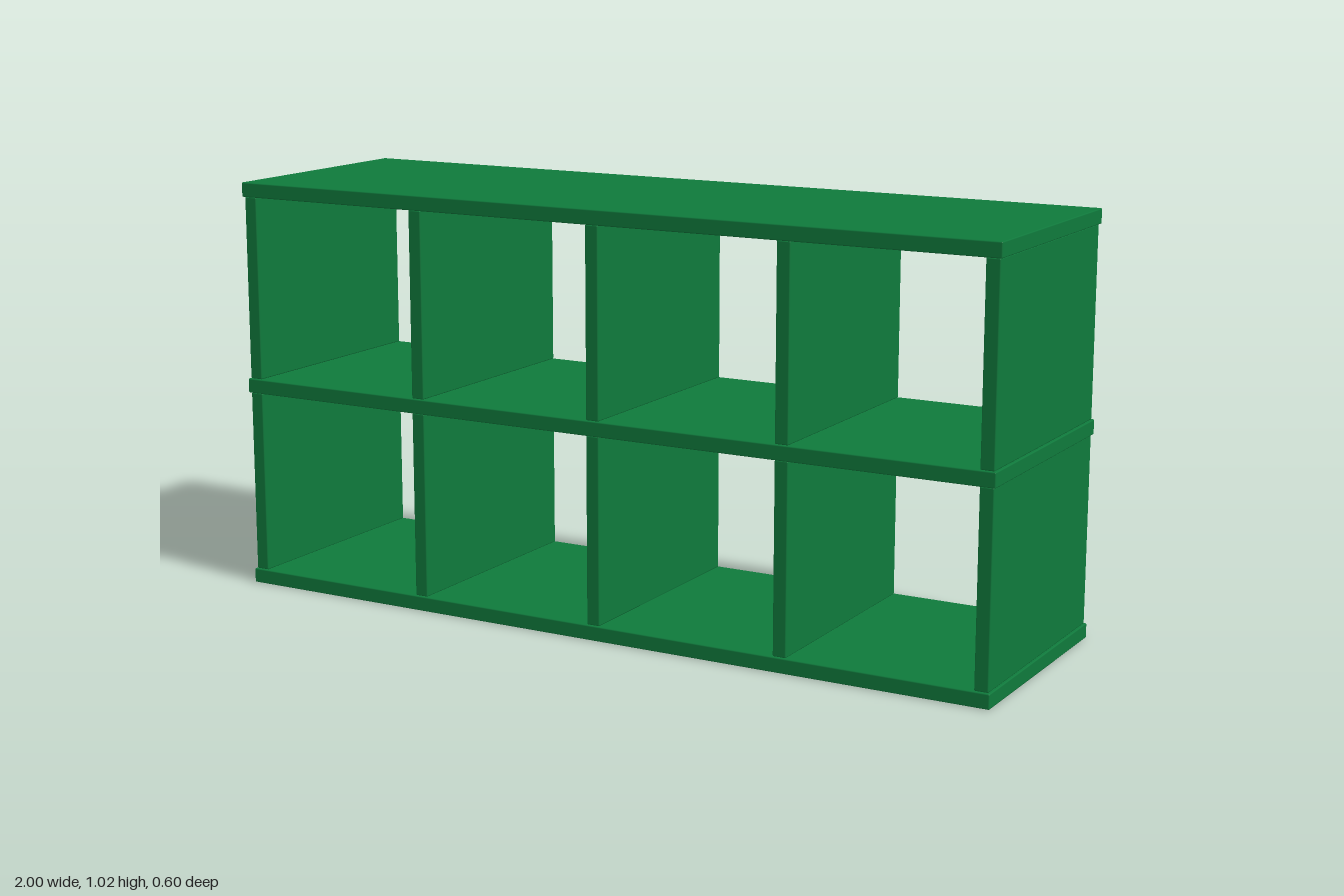
import * as THREE from 'three';
import { RoundedBoxGeometry } from 'three/addons/geometries/RoundedBoxGeometry.js';

const THICK = 0.036;  // board thickness
const PITCH = 0.492;  // spacing between shelf boards
const BEVEL = 0.003;  // softened board edges

export function createModel() {
  const group = new THREE.Group();
  group.name = 'cubeShelf';
  const green = new THREE.MeshStandardMaterial({ color: 0x0f7a3c });

  const board = (name, w, h, d, x, y) => {
    const mesh = new THREE.Mesh(new RoundedBoxGeometry(w, h, d, 1, BEVEL), green);
    mesh.name = name;
    mesh.position.set(x, y, 0);
    group.add(mesh);
  };

  // Three full-width horizontal boards
  ['bottomBoard', 'middleShelf', 'topBoard'].forEach((name, i) =>
    board(name, 2, THICK, 0.6, 0, THICK / 2 + i * PITCH));

  // Two tiers of upright panels, set back slightly from the board edges
  const panelHeight = PITCH - THICK;
  ['lower', 'upper'].forEach((tier, row) => {
    const y = THICK + panelHeight / 2 + row * PITCH;
    for (let i = -2; i <= 2; i++) {
      const kind = Math.abs(i) === 2 ? 'SidePanel' : 'Divider';
      board(tier + kind, 0.034, panelHeight, 0.59, i * 0.489, y);
    }
  });

  return group;
}
